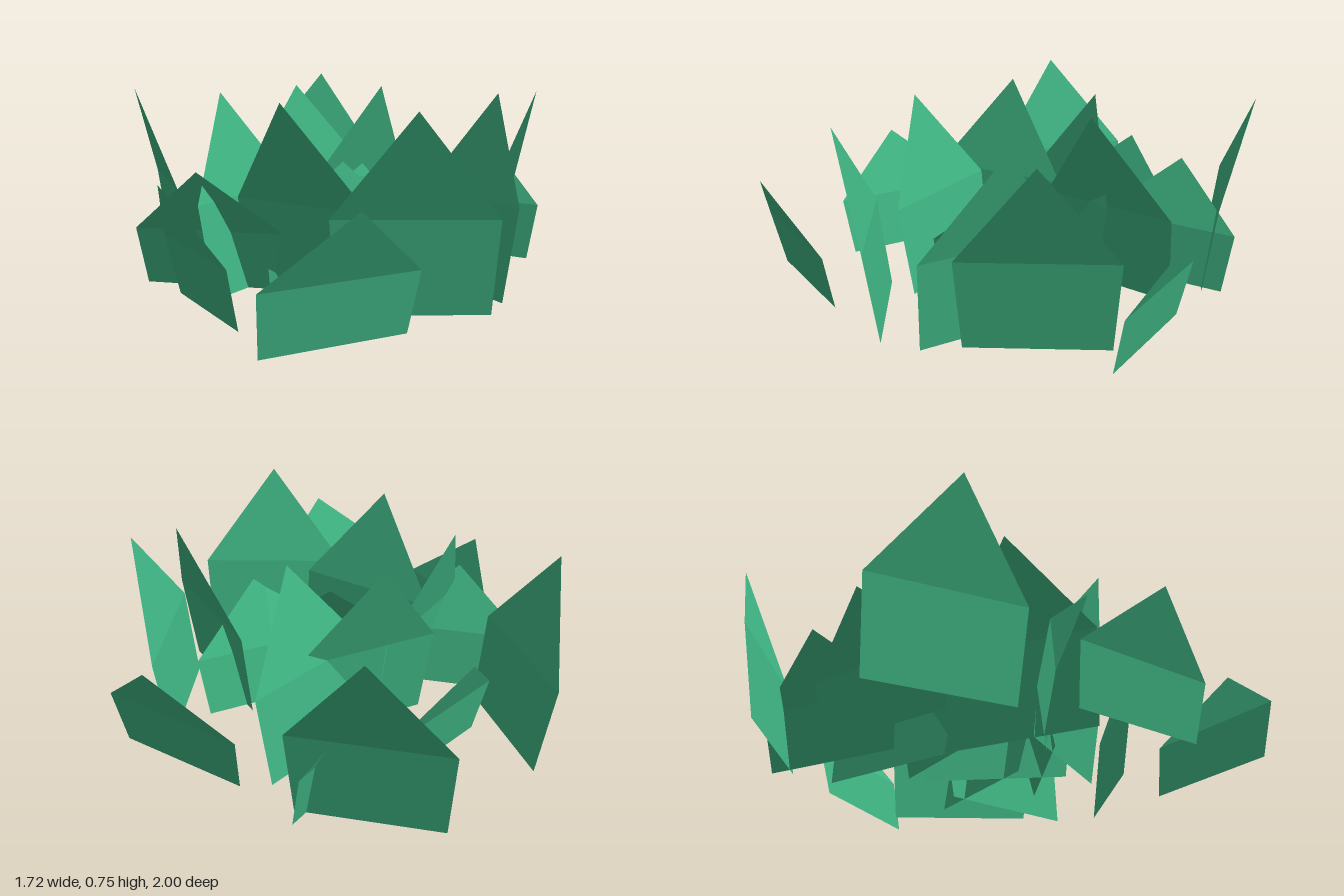
import * as THREE from 'three';

// One blade: a five-sided sheet rising from the ground, creased across its shoulders
// so the pointed upper part leans further out (+z)
function bladeGeometry(height) {
  const shoulder = height * 0.478;
  const corners = [
    [-0.278, 0, 0], [0.278, 0, 0],                        // base
    [0.303, shoulder, 0.05], [-0.303, shoulder, 0.05],    // shoulders
    [0, height, 0.175],                                   // tip
  ];
  const indexed = new THREE.BufferGeometry();
  indexed.setAttribute('position', new THREE.Float32BufferAttribute(corners.flat(), 3));
  indexed.setIndex([0, 1, 2, 0, 2, 3, 3, 2, 4]);
  const geometry = indexed.toNonIndexed();
  geometry.computeVertexNormals();
  return geometry;
}

// Each blade: base centre x, z and the compass heading of its lean in degrees
const TALL = [
  [0.06, -0.81, 150], [-0.635, -0.435, -90], [0.10, -0.36, 31],
  [-0.11, -0.197, -171], [-0.397, -0.007, -139.6], [-0.253, 0.225, -51.3],
  [0.345, 0.275, 102], [0.538, 0.138, 67.6], [0.035, 0.585, -17.8],
];
const SHORT = [
  [-0.29, -0.51, -150], [0.11, -0.575, -142], [0.63, -0.26, 129],
  [-0.66, 0.305, -78.6], [-0.57, -0.033, -30.6], [-0.117, 0.21, 161],
  [0.028, 0.068, 60], [0.184, 0.072, 8.4], [-0.335, 0.825, 11.3],
];

export function createModel() {
  const group = new THREE.Group();
  group.name = 'grassClump';
  const material = new THREE.MeshStandardMaterial({
    color: 0x3fb583, flatShading: true, side: THREE.DoubleSide,
  });

  const plant = (name, height, places) => {
    const geometry = bladeGeometry(height);
    for (const [x, z, heading] of places) {
      const blade = new THREE.Mesh(geometry, material);
      blade.name = name;
      blade.position.set(x, 0, z);
      blade.rotation.y = THREE.MathUtils.degToRad(heading);
      group.add(blade);
    }
  };
  plant('tallBlade', 0.755, TALL);
  plant('shortBlade', 0.483, SHORT);
  return group;
}
